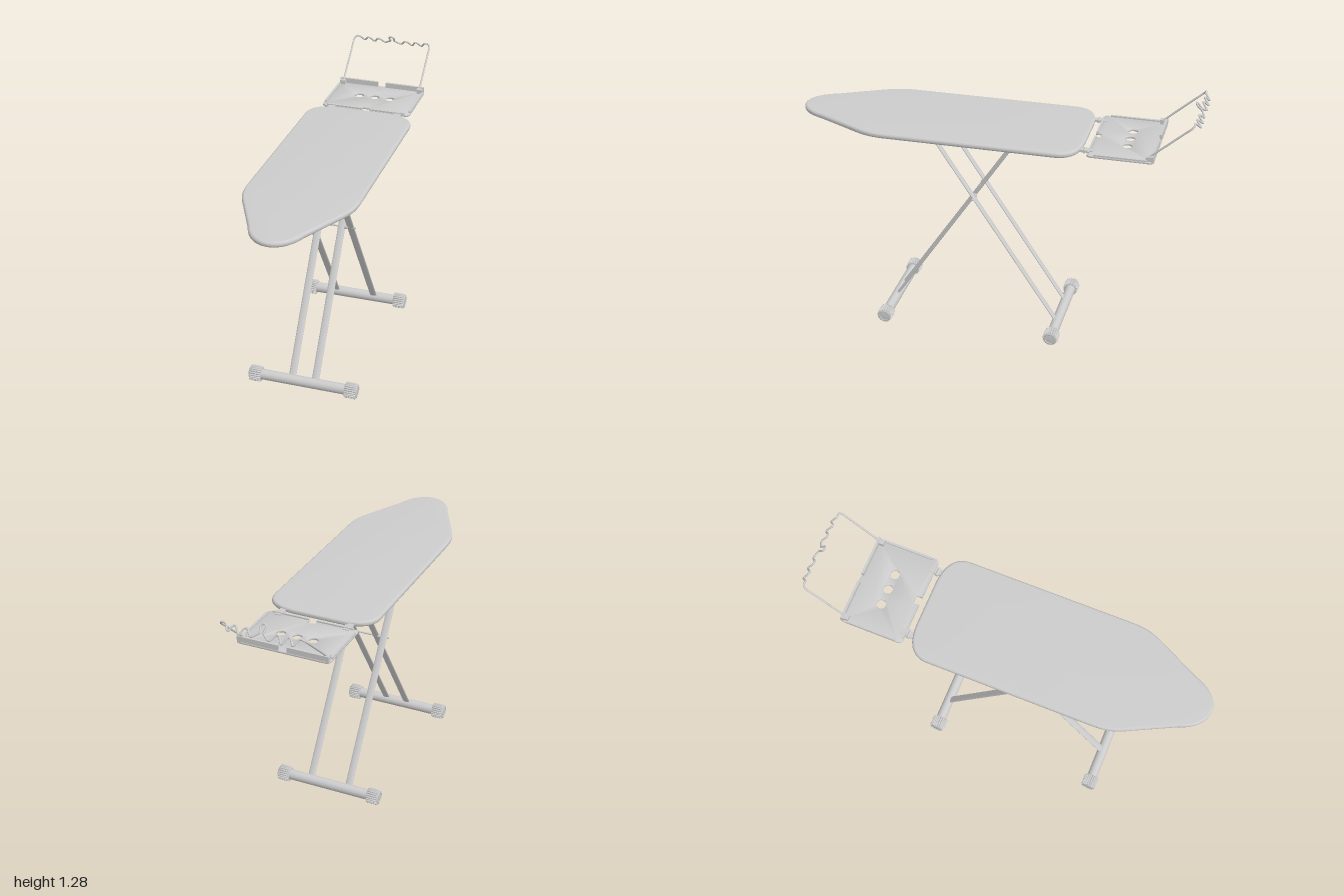
import * as THREE from 'three';
import { toCreasedNormals } from 'three/addons/utils/BufferGeometryUtils.js';

const grey = new THREE.MeshStandardMaterial({ color: 0xcccccc });

function add(parent, name, geometry, x = 0, y = 0, z = 0) {
  const mesh = new THREE.Mesh(geometry, grey);
  mesh.name = name;
  mesh.position.set(x, y, z);
  parent.add(mesh);
  return mesh;
}

// Extrudes a plan outline (shape y = -z) upward from y0 to y1 with a rounded edge
function slab(shape, y0, y1, bevel) {
  const g = new THREE.ExtrudeGeometry(shape, {
    depth: y1 - y0 - 2 * bevel, bevelThickness: bevel, bevelSize: bevel,
    bevelOffset: -bevel, bevelSegments: 4, curveSegments: 14,
  });
  g.rotateX(-Math.PI / 2).translate(0, y0 + bevel, 0);
  return toCreasedNormals(g, 0.6);
}

function boardShape() {
  const s = new THREE.Shape();
  s.moveTo(0, -1);
  s.bezierCurveTo(0.055, -1, 0.105, -0.955, 0.13, -0.88);
  s.lineTo(0.225, -0.69);
  s.bezierCurveTo(0.262, -0.62, 0.275, -0.58, 0.275, -0.5);
  s.lineTo(0.275, 0.33);
  s.bezierCurveTo(0.27, 0.4, 0.22, 0.44, 0.11, 0.442);
  s.lineTo(-0.11, 0.442);
  s.bezierCurveTo(-0.22, 0.44, -0.27, 0.4, -0.275, 0.33);
  s.lineTo(-0.275, -0.5);
  s.bezierCurveTo(-0.275, -0.58, -0.262, -0.62, -0.225, -0.69);
  s.lineTo(-0.13, -0.88);
  s.bezierCurveTo(-0.105, -0.955, -0.055, -1, 0, -1);
  return s;
}

// Rounded plate with a notch in the front edge and three round holes
function trayShape() {
  const s = new THREE.Shape();
  const w = 0.232, f = 0.47, b = 0.788, r = 0.025;
  s.moveTo(0.02, f);
  s.lineTo(w - r, f);
  s.quadraticCurveTo(w, f, w, f + r);
  s.lineTo(w, b - r);
  s.quadraticCurveTo(w, b, w - r, b);
  s.lineTo(-w + r, b);
  s.quadraticCurveTo(-w, b, -w, b - r);
  s.lineTo(-w, f + r);
  s.quadraticCurveTo(-w, f, -w + r, f);
  s.lineTo(-0.02, f);
  s.lineTo(-0.02, f + 0.03);
  s.lineTo(0.02, f + 0.03);
  s.closePath();
  for (const x of [-0.082, 0, 0.082]) {
    s.holes.push(new THREE.Path().absarc(x, 0.64, 0.023, 0, Math.PI * 2, true));
  }
  return s;
}

// Flat oval tube in the yz plane at a given x
function leg(parent, name, x, footZ, topZ) {
  const dy = 1.045 - 0.045, dz = topZ - footZ;
  const g = new THREE.CylinderGeometry(1, 1, Math.hypot(dy, dz), 24).scale(0.0185, 1, 0.0065);
  const tube = add(parent, name, g, x, 0.545, (footZ + topZ) / 2);
  tube.rotation.x = Math.atan2(dz, dy);
}

// Ribbed end cap, extruded along x
function capGeometry() {
  const teeth = 22, pts = [];
  for (let i = 0; i < teeth * 4; i++) {
    const a = (i / (teeth * 4)) * Math.PI * 2;
    const r = i % 4 < 2 ? 0.039 : 0.0345;
    pts.push(new THREE.Vector2(Math.cos(a) * r, Math.sin(a) * r));
  }
  const g = new THREE.ExtrudeGeometry(new THREE.Shape(pts), {
    depth: 0.046, bevelThickness: 0.007, bevelSize: 0.005, bevelOffset: -0.005, bevelSegments: 3,
  });
  return toCreasedNormals(g.translate(0, 0, -0.023).rotateY(Math.PI / 2), 0.5);
}

function foot(z, name) {
  const group = new THREE.Group();
  group.name = name;
  group.position.set(0, 0.04, z);
  add(group, 'footBar', new THREE.CylinderGeometry(0.026, 0.026, 0.46, 32).rotateZ(Math.PI / 2));
  const cap = capGeometry();
  for (const s of [-1, 1]) {
    add(group, 'footCap', cap, s * 0.244, 0, 0);
    add(group, 'capRim', new THREE.TorusGeometry(0.026, 0.004, 8, 32).rotateY(Math.PI / 2), s * 0.273, 0, 0);
  }
  return group;
}

function ironRest() {
  const group = new THREE.Group();
  group.name = 'ironRest';
  add(group, 'trayPlate', slab(trayShape(), 1.045, 1.055, 0.002));
  for (const s of [-1, 1]) {
    add(group, 'sideRim', new THREE.BoxGeometry(0.012, 0.016, 0.25), s * 0.225, 1.054, -0.63);
    add(group, 'frontRim', new THREE.BoxGeometry(0.185, 0.016, 0.01), s * 0.113, 1.054, -0.476);
    add(group, 'rearLip', new THREE.BoxGeometry(0.207, 0.034, 0.012), s * 0.1245, 1.064, -0.781);
    add(group, 'wireSocket', new THREE.BoxGeometry(0.028, 0.026, 0.03), s * 0.21, 1.064, -0.765);
    add(group, 'hingeStrap', new THREE.BoxGeometry(0.03, 0.011, 0.09), s * 0.173, 1.053, -0.45);
    add(group, 'hingePin', new THREE.CylinderGeometry(0.008, 0.008, 0.04, 16).rotateZ(Math.PI / 2), s * 0.173, 1.053, -0.455);
  }
  return group;
}

// Bent wire: two leaning posts joined by a wavy top
function wireRack() {
  const half = [
    [0.012, 1.268], [0.011, 1.243], [0.022, 1.235], [0.045, 1.225], [0.07, 1.248], [0.083, 1.246],
    [0.103, 1.223], [0.127, 1.249], [0.138, 1.246], [0.157, 1.226], [0.178, 1.25], [0.196, 1.251],
  ].map(([x, y]) => new THREE.Vector3(x, y, -0.965 + (y - 1.25) * 0.9));
  half.push(
    new THREE.Vector3(0.207, 1.238, -0.954),
    new THREE.Vector3(0.208, 1.21, -0.922),
    new THREE.Vector3(0.208, 1.14, -0.842),
    new THREE.Vector3(0.208, 1.072, -0.765),
  );
  const mirrored = half.map(p => new THREE.Vector3(-p.x, p.y, p.z)).reverse();
  const path = new THREE.CatmullRomCurve3(
    [...mirrored, new THREE.Vector3(0, 1.275, -0.943), ...half], false, 'centripetal');
  return new THREE.TubeGeometry(path, 320, 0.0048, 10);
}

export function createModel() {
  const model = new THREE.Group();
  model.name = 'ironingBoard';

  add(model, 'boardTop', slab(boardShape(), 1.042, 1.07, 0.012));

  // Crossed legs: the inner pair stands on the front foot, the outer pair on the rear foot
  for (const s of [-1, 1]) {
    leg(model, 'innerLeg', s * 0.059, 0.54, -0.125);
    leg(model, 'outerLeg', s * 0.103, -0.32, 0.34);
    add(model, 'innerLegBracket', new THREE.BoxGeometry(0.042, 0.012, 0.022), s * 0.059, 1.038, -0.122);
    add(model, 'outerLegBracket', new THREE.BoxGeometry(0.042, 0.012, 0.022), s * 0.103, 1.038, 0.337);
    add(model, 'pivotBushing', new THREE.CylinderGeometry(0.011, 0.011, 0.016, 20).rotateZ(Math.PI / 2), s * 0.081, 0.69, 0.109);
  }
  add(model, 'pivotRod', new THREE.CylinderGeometry(0.0045, 0.0045, 0.26, 16).rotateZ(Math.PI / 2), 0, 0.69, 0.109);

  model.add(foot(0.54, 'frontFoot'), foot(-0.325, 'rearFoot'), ironRest());
  add(model, 'wireRack', wireRack());
  return model;
}
